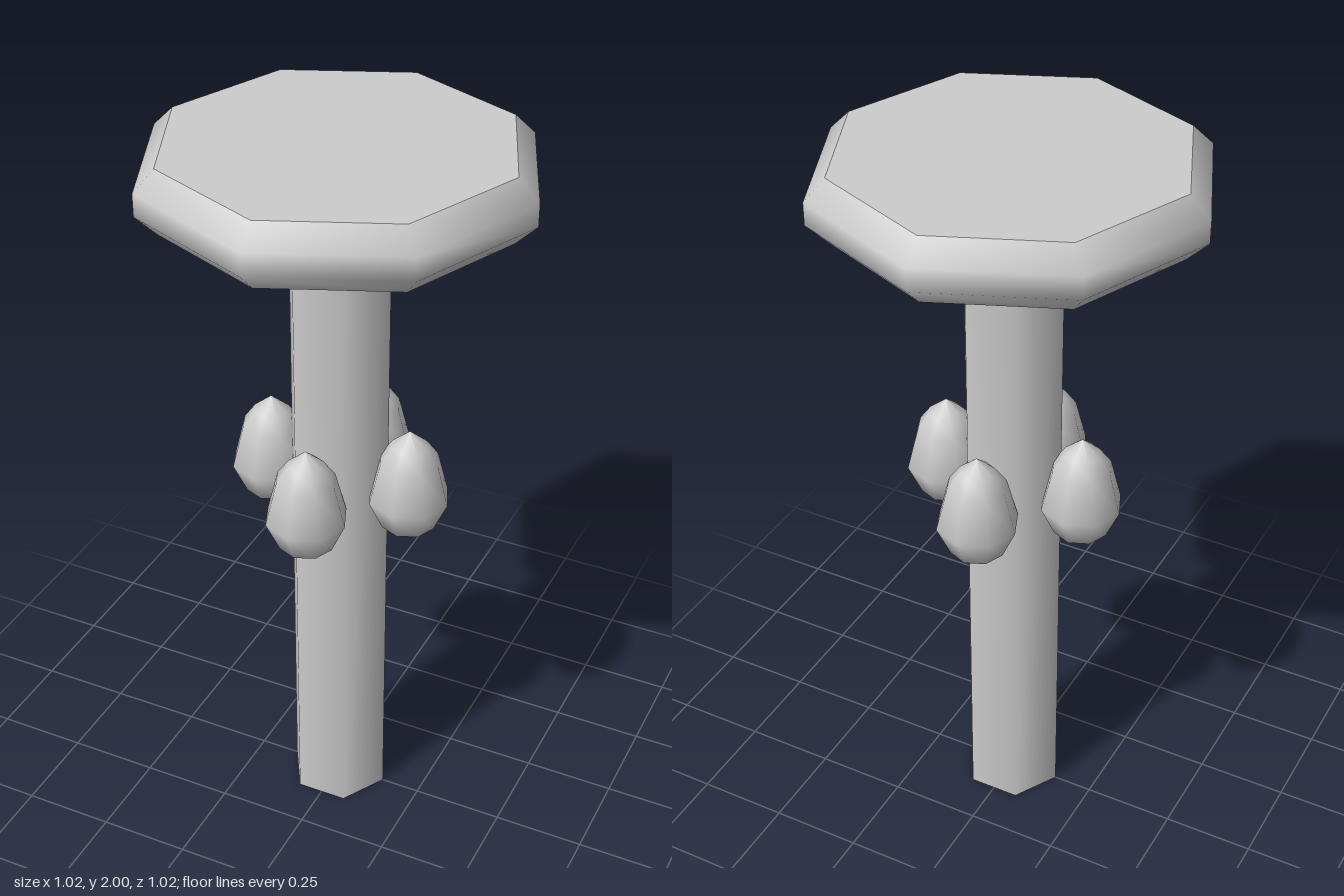
import * as THREE from 'three';

export function createModel() {
  const model = new THREE.Group();
  const stone = new THREE.MeshStandardMaterial({ color: 0xcccccc });
  stone.name = 'light grey';

  const add = (name, geometry, parent = model) => {
    const mesh = new THREE.Mesh(geometry, stone);
    mesh.name = name;
    parent.add(mesh);
    return mesh;
  };
  const lathe = (points, sides) =>
    new THREE.LatheGeometry(points.map(([r, y]) => new THREE.Vector2(r, y)), sides);

  // Six-sided column with corners on the x axis
  const column = add('column', new THREE.CylinderGeometry(0.14, 0.14, 1.84, 6));
  column.rotation.y = Math.PI / 2;
  column.position.y = 0.92;

  // Eight-sided bevelled top slab: smooth rim, flat faces
  const slab = new THREE.Group();
  slab.name = 'topSlab';
  model.add(slab);
  add('slabRim', lathe([[0.455, 1.83], [0.51, 1.885], [0.51, 1.945], [0.455, 2]], 8), slab);
  for (const [name, y, tilt] of [['slabTop', 2, -1], ['slabUnderside', 1.83, 1]]) {
    const face = add(name, new THREE.CircleGeometry(0.455, 8), slab);
    face.rotation.x = tilt * Math.PI / 2;
    face.position.y = y;
  }

  // Four pointed buds around the column
  const budGeometry = lathe(
    [[0, 0.928], [0.073, 0.95], [0.11, 1.033], [0.08, 1.15], [0.048, 1.195], [0, 1.235]], 8);
  ['frontBud', 'leftBud', 'backBud', 'rightBud'].forEach((name, i) => {
    const a = i * Math.PI / 2;
    add(name, budGeometry).position.set(0.2 * Math.sin(a), 0, 0.2 * Math.cos(a));
  });

  return model;
}
